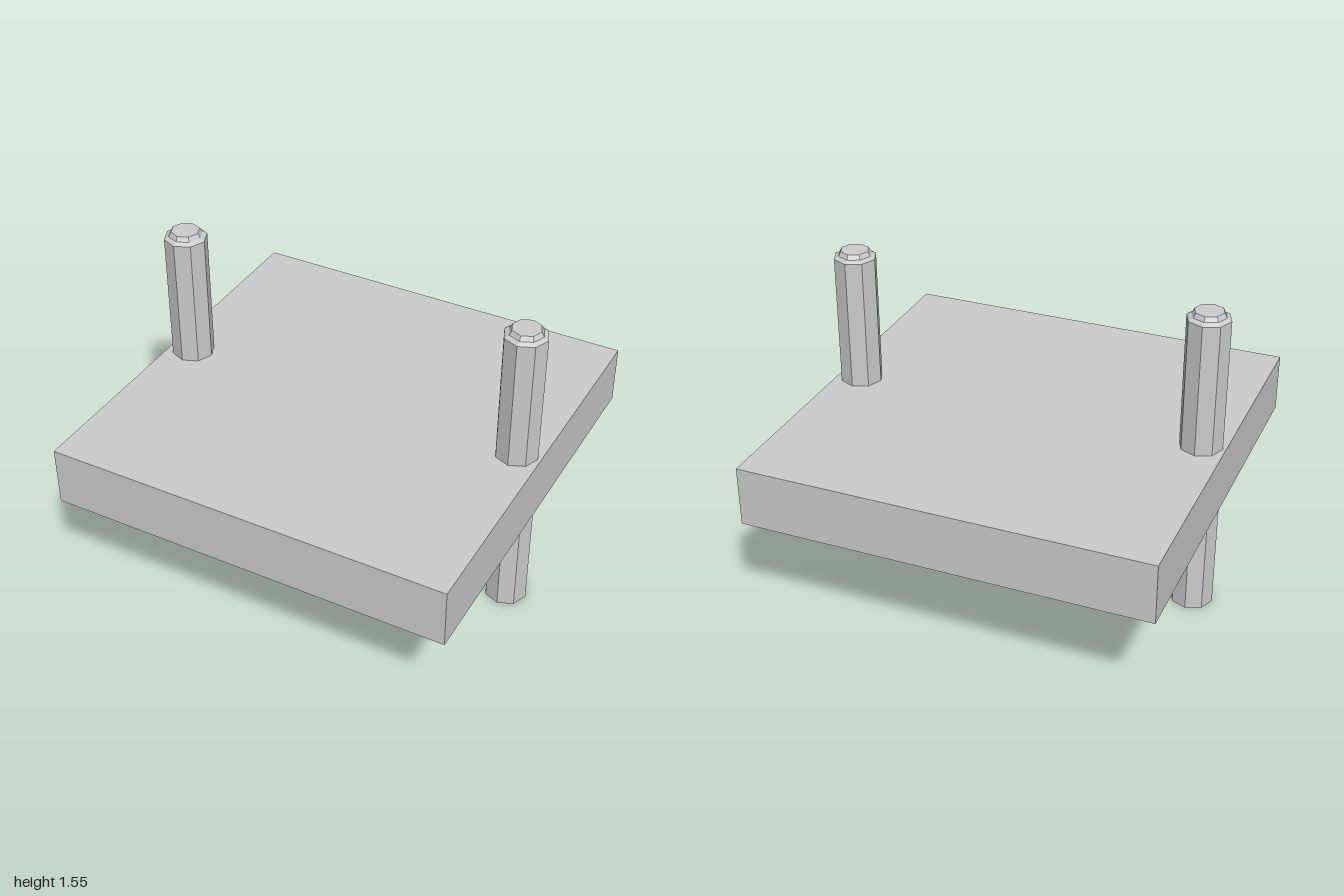
import * as THREE from 'three';

export function createModel() {
  const model = new THREE.Group();
  const material = new THREE.MeshStandardMaterial({ color: 0xcccccc, flatShading: true });

  // Square slab
  const slab = new THREE.Mesh(new THREE.BoxGeometry(2, 0.295, 2), material);
  slab.name = 'slab';
  slab.position.y = 0.7125;
  model.add(slab);

  // Octagonal posts through the slab, each with a stepped, bevelled cap
  const profile = [
    [0, 0], [0.105, 0], [0.105, 1.515], [0.082, 1.527], [0.07, 1.55], [0, 1.55],
  ].map(([r, y]) => new THREE.Vector2(r, y));
  const postGeometry = new THREE.LatheGeometry(profile, 8);
  for (const [name, x] of [['leftPost', 0.88], ['rightPost', -0.88]]) {
    const post = new THREE.Mesh(postGeometry, material);
    post.name = name;
    post.position.x = x;
    model.add(post);
  }

  return model;
}
